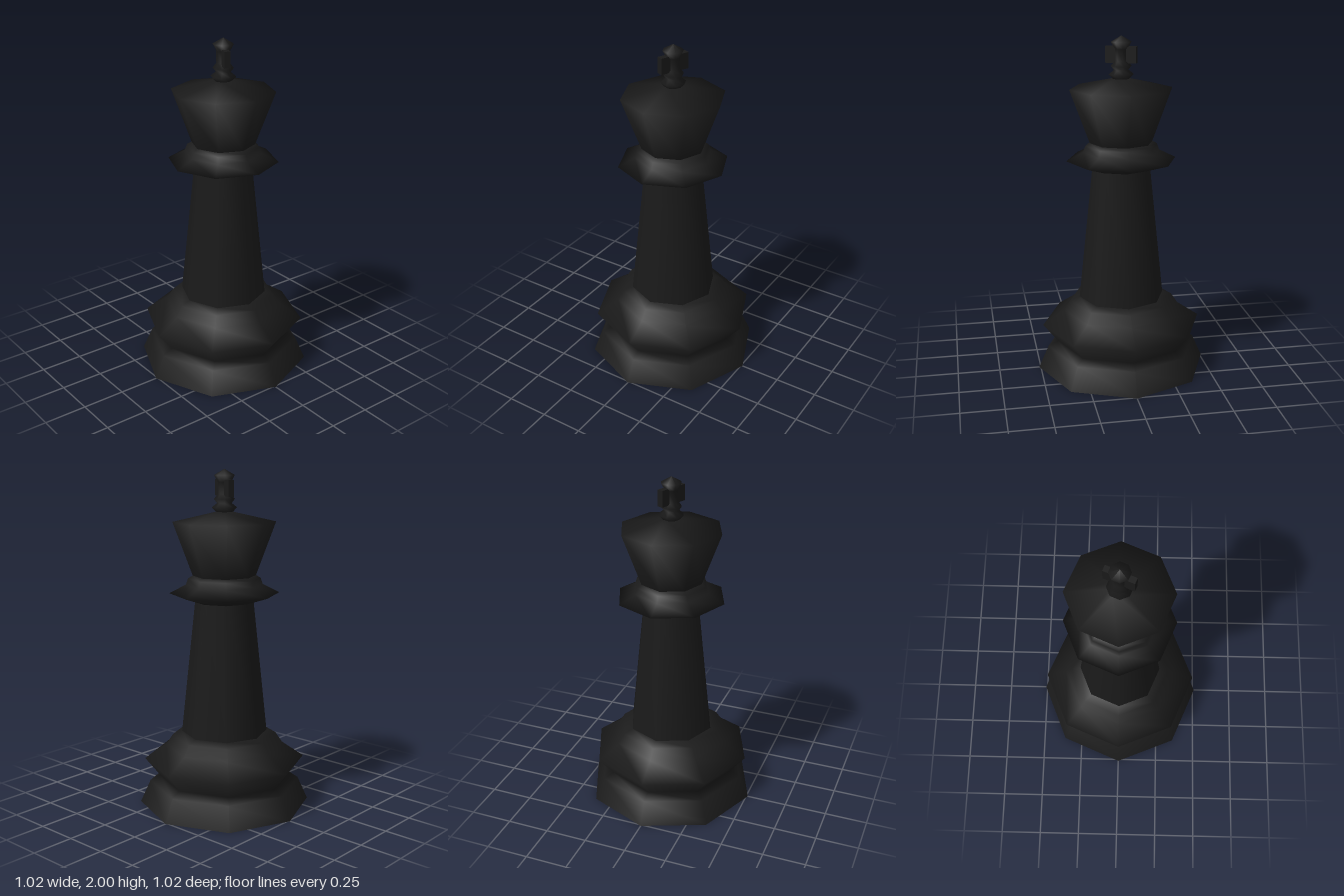
import * as THREE from 'three';

const SIDES = 8;
const material = new THREE.MeshStandardMaterial({ color: 0x1a1a1a });

// Eight-sided turned part from [radius, height] pairs, bottom to top
function turned(name, profile) {
  const points = profile.map(([r, y]) => new THREE.Vector2(r, y));
  const mesh = new THREE.Mesh(new THREE.LatheGeometry(points, SIDES), material);
  mesh.name = name;
  return mesh;
}

export function createModel() {
  const group = new THREE.Group();
  group.name = 'chessKing';

  // Flat underside, foot and flared base
  group.add(turned('underside', [[0, 0], [0.51, 0]]));
  group.add(turned('base', [
    [0.51, 0], [0.45, 0.135], [0.39, 0.165], [0.48, 0.275],
    [0.35, 0.365], [0.31, 0.425], [0.255, 0.445],
  ]));

  // Tapering column
  group.add(turned('column', [[0.255, 0.445], [0.172, 1.235]]));

  // Collar disc with a small step above it
  group.add(turned('collar', [
    [0.172, 1.235], [0.323, 1.285], [0.225, 1.335], [0.212, 1.372], [0.185, 1.388],
  ]));

  // Crown, widening upwards to a shallow cone
  group.add(turned('crown', [[0.185, 1.388], [0.3, 1.7], [0.05, 1.757], [0, 1.757]]));

  // Ringed finial with a pointed cap
  group.add(turned('finial', [
    [0.045, 1.752], [0.073, 1.782], [0.042, 1.806], [0.06, 1.83],
    [0.038, 1.858], [0.038, 1.925], [0.06, 1.965], [0, 2],
  ]));

  // Cross arms, flaring towards both ends and set square to a facet
  const end = 0.09, tall = 0.047, waist = 0.03, depth = 0.036;
  const outline = new THREE.Shape([
    [-end, -tall], [-0.045, -tall], [0, -waist], [0.045, -tall], [end, -tall],
    [end, tall], [0.045, tall], [0, waist], [-0.045, tall], [-end, tall],
  ].map(([x, y]) => new THREE.Vector2(x, y)));
  const armGeometry = new THREE.ExtrudeGeometry(outline, { depth, bevelEnabled: false });
  armGeometry.translate(0, 0, -depth / 2);
  const arms = new THREE.Mesh(armGeometry, material);
  arms.name = 'crossArms';
  arms.position.y = 1.893;
  arms.rotation.y = 3 * Math.PI / 8;
  group.add(arms);

  return group;
}
